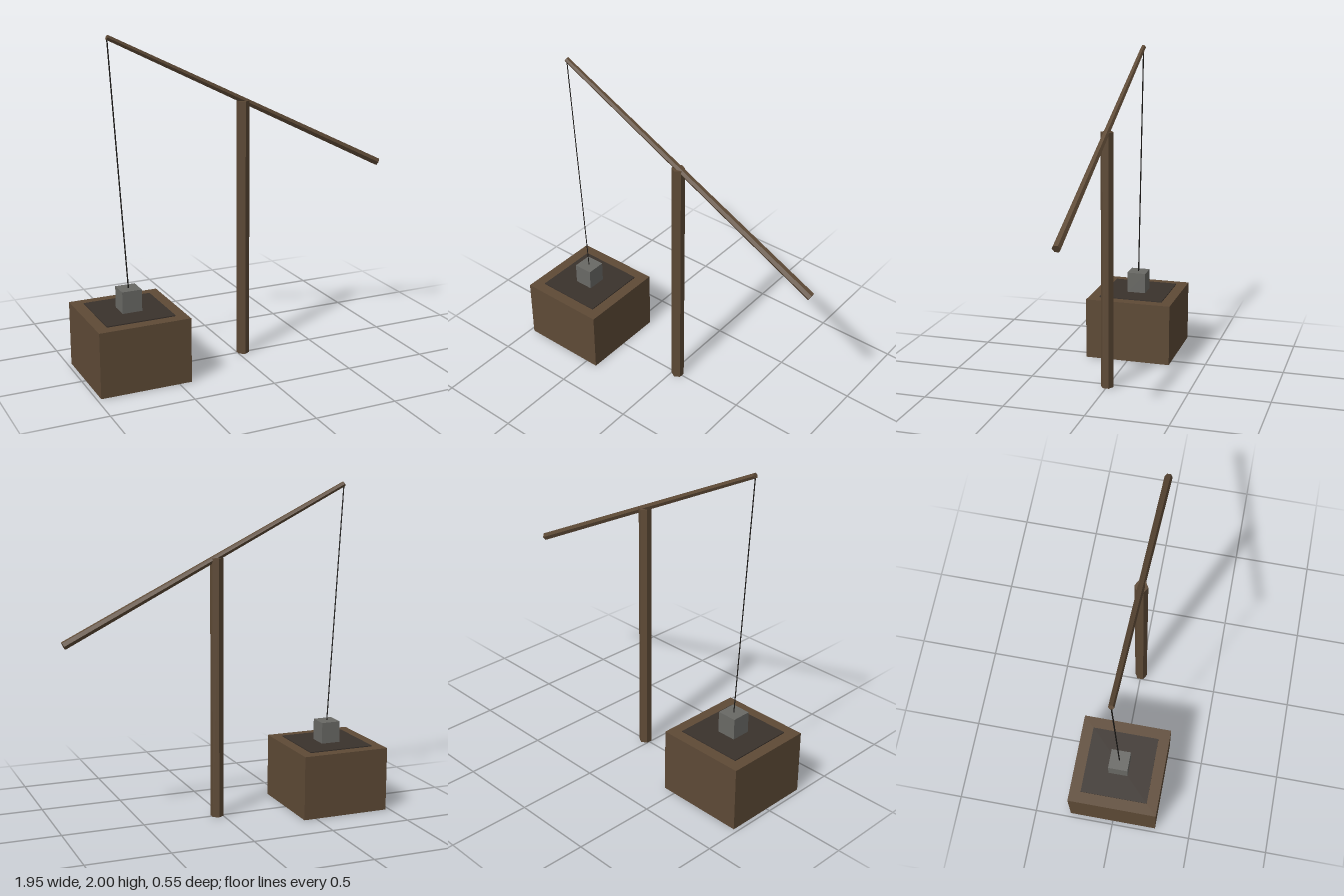
import * as THREE from 'three';

const mat = (name, color) => {
  const m = new THREE.MeshStandardMaterial({ color, flatShading: true });
  m.name = name;
  return m;
};

export function createModel() {
  const group = new THREE.Group();
  const wood = mat('brown wood', 0x5e4a36);
  const dark = mat('dark opening', 0x3a322c);
  const stone = mat('grey bucket', 0x696965);
  const black = mat('rope black', 0x1c1a18);

  const add = (name, geometry, material, x, y, z) => {
    const mesh = new THREE.Mesh(geometry, material);
    mesh.name = name;
    mesh.position.set(x, y, z);
    group.add(mesh);
    return mesh;
  };

  // Tapered rod from point a to point b in the x-y plane
  const rod = (name, a, b, rA, rB, sides, material) => {
    const from = new THREE.Vector3(...a), to = new THREE.Vector3(...b);
    const dir = to.clone().sub(from);
    const mid = from.clone().add(to).multiplyScalar(0.5);
    const geometry = new THREE.CylinderGeometry(rB, rA, dir.length(), sides);
    const mesh = add(name, geometry, material, mid.x, mid.y, 0);
    mesh.rotation.z = Math.atan2(-dir.x, dir.y);
    return mesh;
  };

  // Well box with its dark opening
  add('wellBox', new THREE.BoxGeometry(0.553, 0.393, 0.553), wood, -0.699, 0.1965, 0);
  add('wellOpening', new THREE.BoxGeometry(0.415, 0.008, 0.415), dark, -0.699, 0.395, 0);

  // Upright post and swinging arm
  rod('post', [0.035, 0, 0], [0.035, 1.573, 0], 0.039, 0.039, 6, wood);
  rod('sweepArm', [0.961, 1.113, 0], [-0.787, 1.986, 0], 0.025, 0.016, 6, wood);

  // Rope and bucket
  rod('rope', [-0.787, 1.983, 0], [-0.699, 0.52, 0], 0.004, 0.004, 4, black);
  add('bucket', new THREE.BoxGeometry(0.12, 0.135, 0.12), stone, -0.699, 0.4625, 0);

  return group;
}
